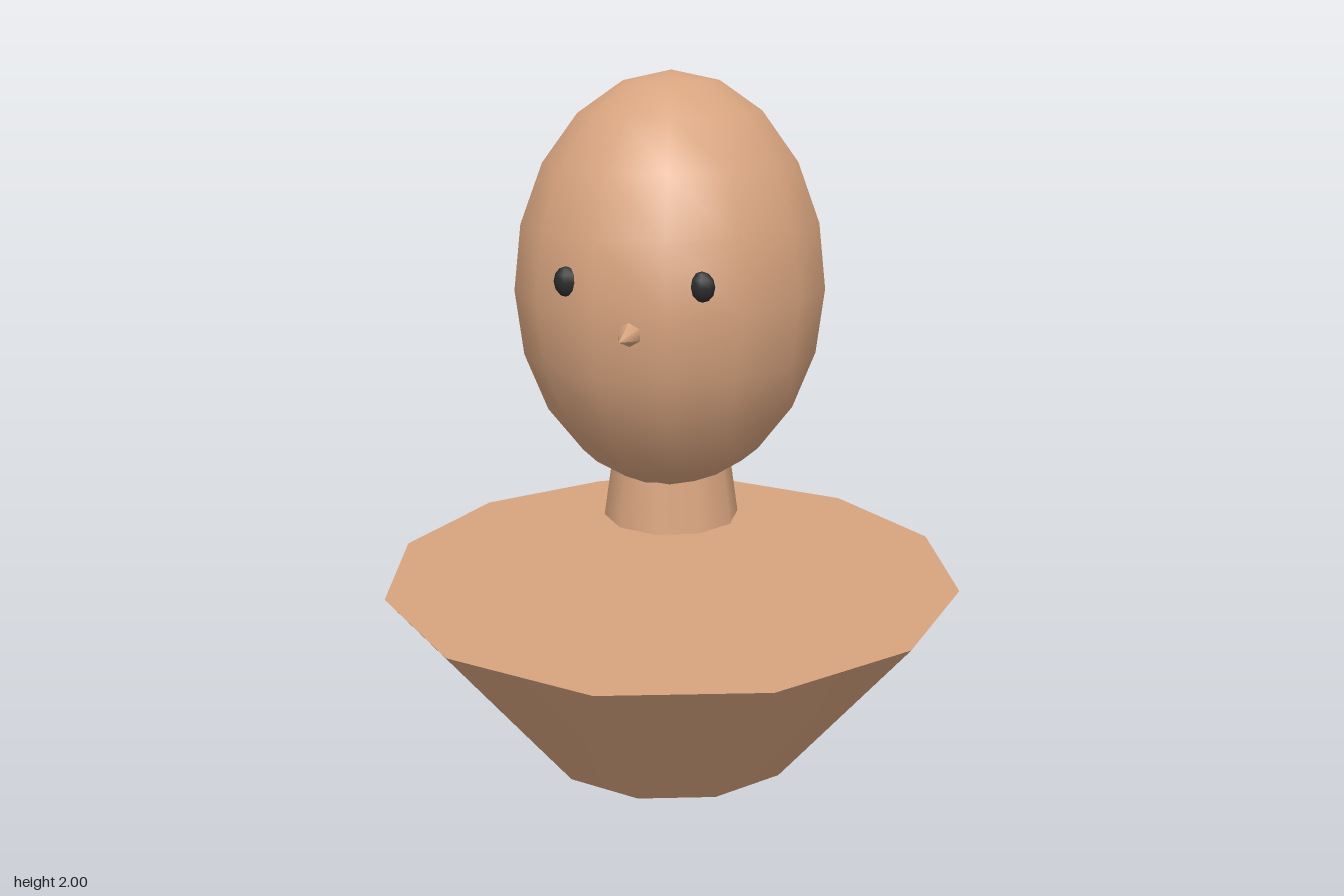
import * as THREE from 'three';

export function createModel() {
  const model = new THREE.Group();
  model.name = 'bust';

  const skin = new THREE.MeshStandardMaterial({ color: 0xd8a47f });
  skin.name = 'skin';
  const dark = new THREE.MeshStandardMaterial({ color: 0x2b2b2b });
  dark.name = 'eyeDark';

  const add = (name, geometry, material, x, y, z) => {
    const mesh = new THREE.Mesh(geometry, material);
    mesh.name = name;
    mesh.position.set(x, y, z);
    model.add(mesh);
    return mesh;
  };

  // Egg-shaped head
  add('head', new THREE.SphereGeometry(1, 14, 10), skin, 0, 1.41, 0).scale.set(0.44, 0.59, 0.5);

  // Short neck, its upper end hidden in the head
  add('neck', new THREE.CylinderGeometry(0.16, 0.2, 0.28, 10), skin, 0, 0.855, 0);

  // Tapered torso, floating free below the neck
  add('torso', new THREE.CylinderGeometry(0.857, 0.429, 0.54, 12), skin, 0, 0.27, 0);

  // Pointed nose
  const nose = add('nose', new THREE.ConeGeometry(0.042, 0.13, 6), skin, 0, 1.36, 0.515);
  nose.rotation.x = Math.PI / 2;

  // Eyes, half sunk into the face
  for (const [name, side] of [['leftEye', 1], ['rightEye', -1]]) {
    add(name, new THREE.SphereGeometry(1, 8, 6), dark, side * 0.178, 1.48, 0.434)
      .scale.set(0.034, 0.04, 0.023);
  }

  return model;
}
